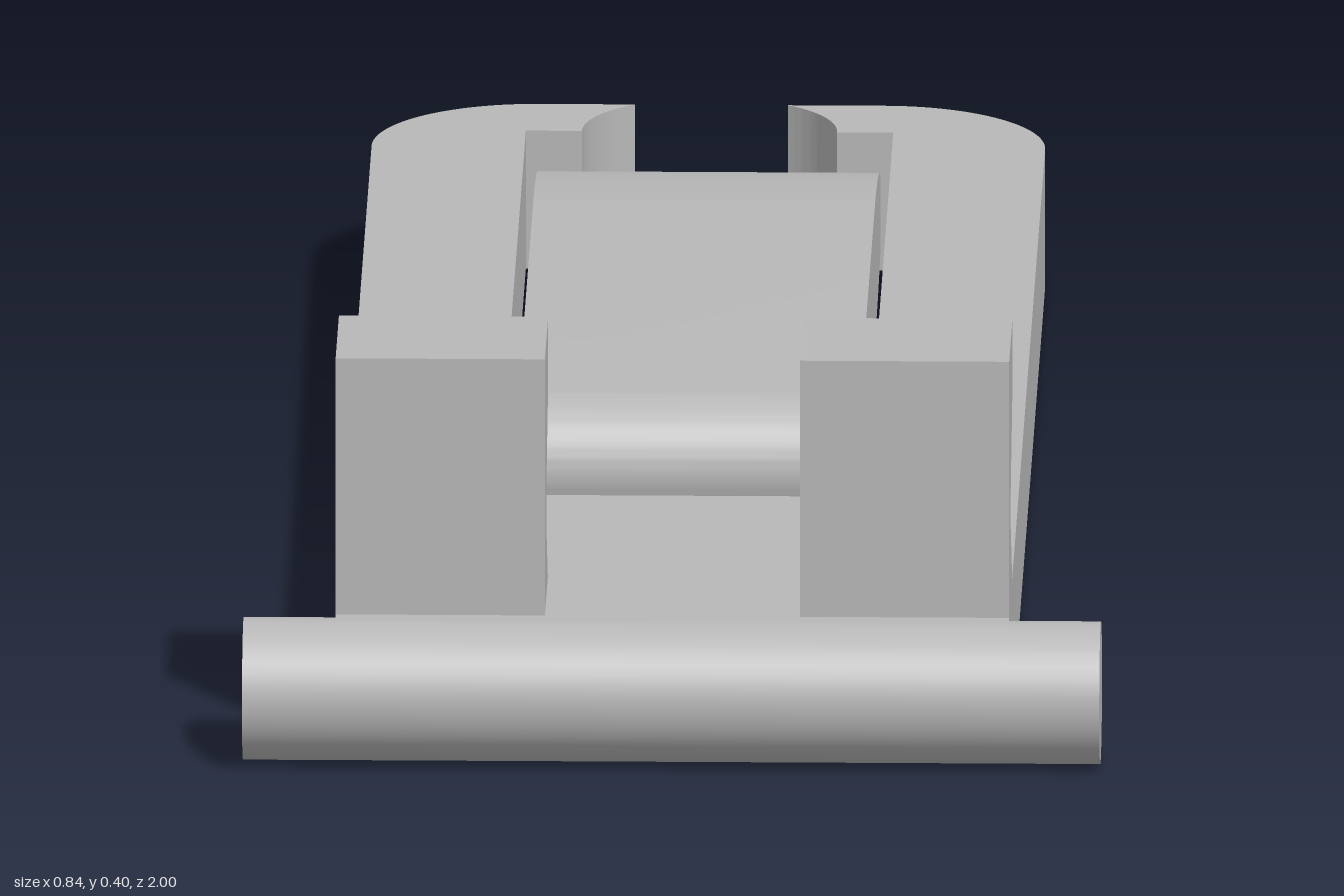
import * as THREE from 'three';
import { toCreasedNormals } from 'three/addons/utils/BufferGeometryUtils.js';

const grey = new THREE.MeshStandardMaterial({ color: 0xb8b8b8 });
grey.name = 'plain grey';

const H = 0.14; // plate thickness

function part(name, geometry) {
  const mesh = new THREE.Mesh(geometry, grey);
  mesh.name = name;
  return mesh;
}

function extrude(shape, depth) {
  return new THREE.ExtrudeGeometry(shape, { depth, bevelEnabled: false, curveSegments: 20 });
}

// Side profile drawn as (z, y), extruded across x and centred on cx
function sideExtrude(shape, width, cx) {
  const g = extrude(shape, width);
  g.rotateY(-Math.PI / 2);
  g.translate(cx + width / 2, 0, 0);
  return toCreasedNormals(g, 0.5);
}

function barX(radius, length, z) {
  const g = new THREE.CylinderGeometry(radius, radius, length, 40);
  g.rotateZ(Math.PI / 2);
  g.translate(0, H / 2, z);
  return g;
}

// Flat frame with a long slot and a round-mouthed gap at the back
function plateGeometry() {
  const a = Math.atan2(0.1, 0.075);
  const s = new THREE.Shape();
  s.moveTo(-0.33, -0.93);
  s.lineTo(0.33, -0.93);
  s.lineTo(0.33, 0.84);
  s.absarc(0.17, 0.84, 0.16, 0, Math.PI / 2, false);
  s.lineTo(0.075, 1);
  s.absarc(0, 0.9, 0.125, a, 0, true);
  s.lineTo(0.18, 0.9);
  s.lineTo(0.18, -0.46);
  s.lineTo(-0.18, -0.46);
  s.lineTo(-0.18, 0.9);
  s.lineTo(-0.125, 0.9);
  s.absarc(0, 0.9, 0.125, Math.PI, Math.PI - a, true);
  s.lineTo(-0.17, 1);
  s.absarc(-0.17, 0.84, 0.16, Math.PI / 2, Math.PI, false);
  s.closePath();
  const g = extrude(s, H);
  g.rotateX(-Math.PI / 2);
  return toCreasedNormals(g, 0.5);
}

// Lever with a round hinge end and a gently dipping tip
function leverGeometry() {
  const s = new THREE.Shape();
  s.moveTo(0.07, 0);
  s.absarc(0.07, H / 2, H / 2, -Math.PI / 2, Math.PI / 2, false);
  s.lineTo(-0.6, H);
  s.quadraticCurveTo(-0.78, H, -0.89, 0.1);
  s.lineTo(-0.89, 0.02);
  s.quadraticCurveTo(-0.8, 0.003, -0.65, 0.002);
  s.closePath();
  return sideExtrude(s, 0.335, 0);
}

// Notched upright hook
function hookGeometry(cx) {
  const s = new THREE.Shape([
    [0.91, 0.1], [0.91, 0.4], [0.75, 0.4], [0.75, 0.33],
    [0.835, 0.25], [0.835, 0.21], [0.765, H], [0.765, 0.1],
  ].map(([z, y]) => new THREE.Vector2(z, y)));
  return sideExtrude(s, 0.205, cx);
}

export function createModel() {
  const model = new THREE.Group();
  model.name = 'latchPlate';
  model.add(part('plate', plateGeometry()));
  model.add(part('frontBar', barX(H / 2, 0.84, 0.93)));
  model.add(part('lever', leverGeometry()));
  model.add(part('hingePin', barX(0.03, 0.36, 0.07)));
  model.add(part('leftHook', hookGeometry(0.2275)));
  model.add(part('rightHook', hookGeometry(-0.2275)));
  return model;
}
